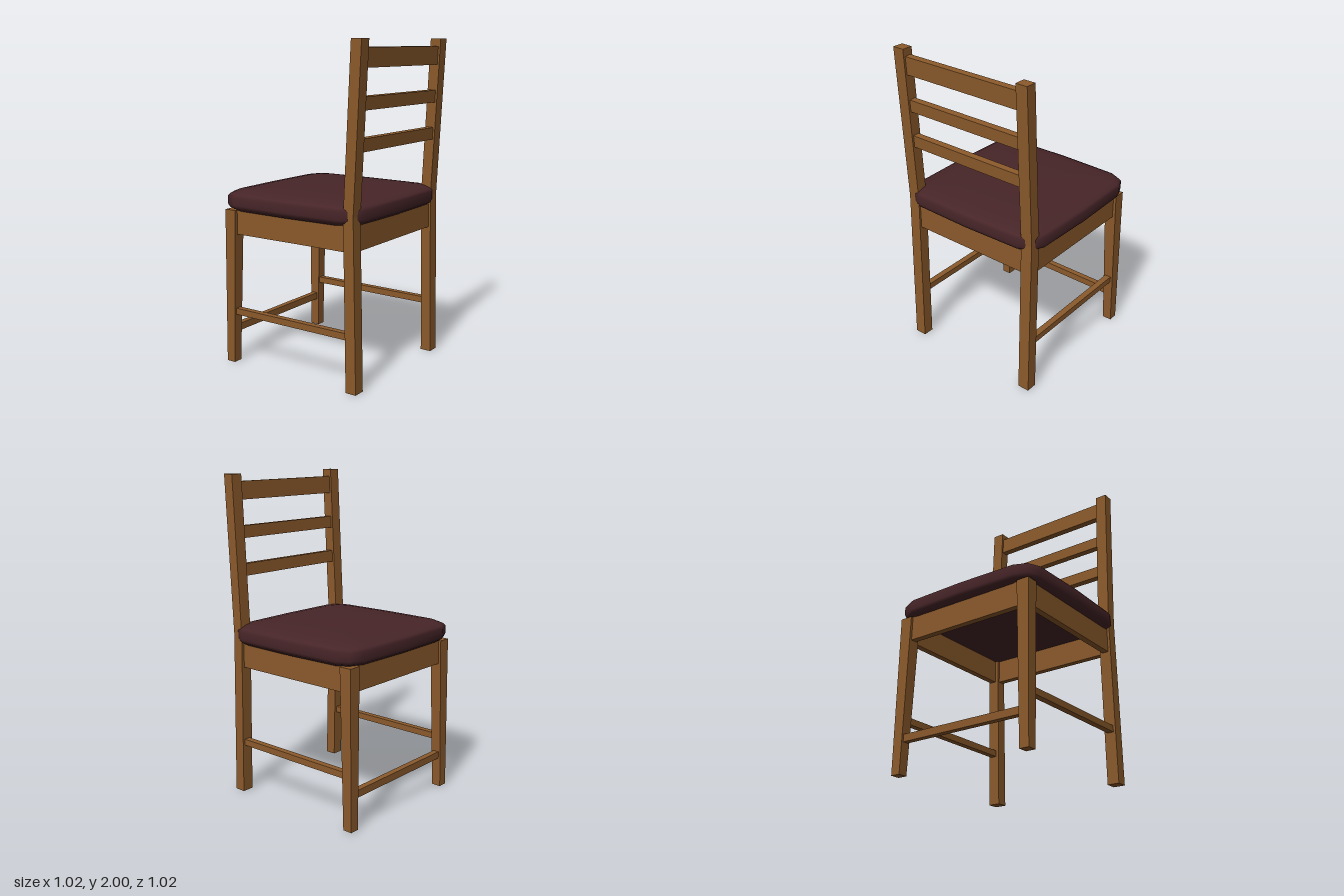
import * as THREE from 'three';

const wood = new THREE.MeshStandardMaterial({ color: 0x8b5a2b });
wood.name = 'wood';
const fabric = new THREE.MeshStandardMaterial({ color: 0x472528 });
fabric.name = 'seat fabric';

export function createModel() {
  const chair = new THREE.Group();
  chair.name = 'chair';

  const add = (name, geometry, material = wood) => {
    const mesh = new THREE.Mesh(geometry, material);
    mesh.name = name;
    chair.add(mesh);
    return mesh;
  };

  // Box given by its extents
  const bar = (name, x0, x1, y0, y1, z0, z1) => {
    const mesh = add(name, new THREE.BoxGeometry(x1 - x0, y1 - y0, z1 - z0));
    mesh.position.set((x0 + x1) / 2, (y0 + y1) / 2, (z0 + z1) / 2);
    return mesh;
  };

  // Leg through rectangular sections [y, inner x, outer x, z0, z1], bottom to top
  const leg = (name, side, sections) => {
    const n = sections.length - 1;
    const indexed = new THREE.BoxGeometry(1, 1, 1, 1, n, 1);
    const p = indexed.attributes.position;
    for (let i = 0; i < p.count; i++) {
      const [y, inner, outer, z0, z1] = sections[Math.round((p.getY(i) + 0.5) * n)];
      const x = p.getX(i) * side > 0 ? outer : inner;
      p.setXYZ(i, x * side, y, p.getZ(i) > 0 ? z1 : z0);
    }
    const geometry = indexed.toNonIndexed();
    geometry.computeVertexNormals();
    add(name, geometry);
  };

  for (const [side, label] of [[1, 'left'], [-1, 'right']]) {
    // Bent rear posts carry the backrest; front legs taper downwards
    leg(label + 'BackPost', side, [
      [0, 0.4, 0.475, 0.413, 0.482],
      [1.03, 0.4, 0.475, 0.393, 0.46],
      [2, 0.4, 0.475, 0.441, 0.509],
    ]);
    leg(label + 'FrontLeg', side, [
      [0, 0.415, 0.475, -0.49, -0.43],
      [0.975, 0.395, 0.475, -0.48, -0.402],
    ]);
    const span = (a, b) => (side > 0 ? [a, b] : [-b, -a]);
    bar(label + 'SeatRail', ...span(0.42, 0.46), 0.825, 0.975, -0.398, 0.393);
    bar(label + 'Stretcher', ...span(0.42, 0.46), 0.31, 0.35, -0.425, 0.415);
  }
  bar('frontSeatRail', -0.4, 0.4, 0.825, 0.975, -0.465, -0.425);
  bar('backSeatRail', -0.4, 0.4, 0.825, 0.975, 0.41, 0.45);
  bar('frontStretcher', -0.412, 0.412, 0.19, 0.235, -0.475, -0.437);

  // Backrest slats lean with the posts
  for (const [name, y0, y1] of [['lowerSlat', 1.385, 1.46], ['middleSlat', 1.615, 1.69], ['topSlat', 1.845, 1.955]]) {
    const z = 0.427 + ((y0 + y1) / 2 - 1.03) * 0.05;
    bar(name, -0.402, 0.402, y0, y1, z - 0.021, z + 0.021).rotation.x = 0.05;
  }

  // Cushion: one rounded outline swept through rings [inset, y], closed at the crown
  const quarter = [[0.51, 0], [0.5, 0.38], [0.465, 0.455], [0.385, 0.49], [0, 0.5]];
  const outline = [];
  for (let q = 0; q < 4; q++) {
    const flipped = q % 2 === 1;
    const sx = q === 0 || q === 3 ? 1 : -1;
    const sz = q < 2 ? 1 : -1;
    const points = flipped ? [...quarter].reverse() : quarter;
    points.slice(0, 4).forEach(([x, z]) => outline.push([sx * x, sz * z]));
  }
  const rings = [[0.035, 0.972], [0.008, 0.99], [0, 1.01], [0, 1.06], [0.01, 1.075],
    [0.04, 1.09], [0.11, 1.102], [0.26, 1.11]];
  const position = [];
  const index = [];
  const count = outline.length;
  for (const [inset, y] of rings) {
    const s = 1 - inset / 0.5;
    for (const [x, z] of outline) position.push(x * s, y, z * s - 0.01);
  }
  const crown = position.length / 3;
  position.push(0, 1.115, -0.01);
  for (let r = 0; r < rings.length; r++) {
    for (let i = 0; i < count; i++) {
      const a = r * count + i;
      const b = r * count + ((i + 1) % count);
      if (r === rings.length - 1) index.push(a, crown, b);
      else index.push(a, a + count, b, b, a + count, b + count);
    }
  }
  const cushion = new THREE.BufferGeometry();
  cushion.setAttribute('position', new THREE.Float32BufferAttribute(position, 3));
  cushion.setIndex(index);
  cushion.computeVertexNormals();
  add('seatCushion', cushion, fabric);

  // Flat underside of the cushion
  const scale = 1 - rings[0][0] / 0.5;
  const shape = new THREE.Shape(outline.map(([x, z]) => new THREE.Vector2(x * scale, z * scale)));
  const underside = add('cushionUnderside', new THREE.ShapeGeometry(shape), fabric);
  underside.rotation.x = Math.PI / 2;
  underside.position.set(0, rings[0][1], -0.01);

  return chair;
}
